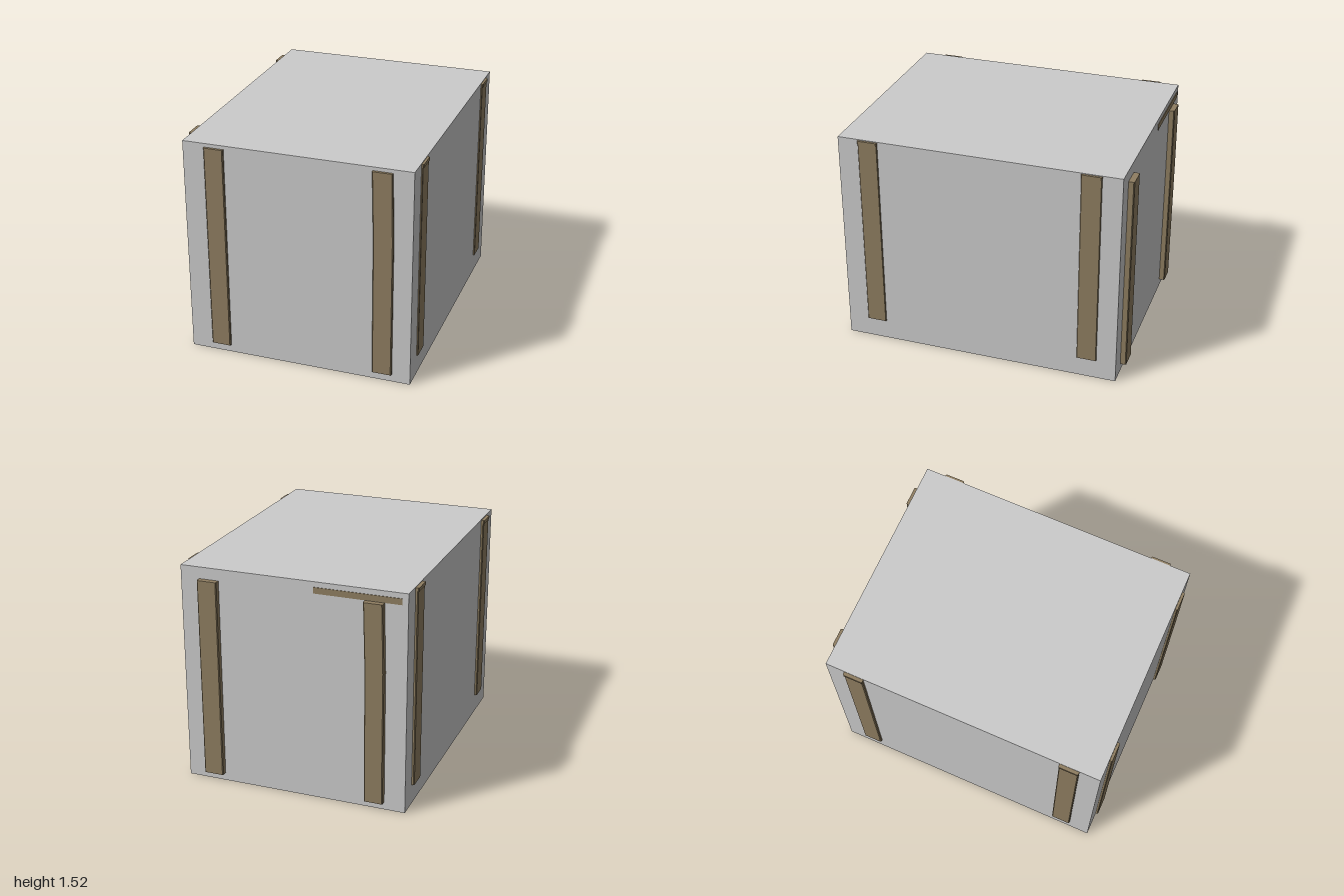
import * as THREE from 'three';

const grey = new THREE.MeshStandardMaterial({ color: 0xcccccc });
grey.name = 'light grey panel';
const wood = new THREE.MeshStandardMaterial({ color: 0x8f7e61 });
wood.name = 'brown wood';

// Upright batten with chamfered outer corners, standing on a wall that faces +z.
// bend shifts the upper third sideways.
function batten(name, { u, width, depth, y0, y1, bend = 0 }) {
  const w = width / 2, c = Math.min(0.006, depth * 0.4);
  const profile = new THREE.Shape([
    [-w, 0.01], [-w, c - depth], [c - w, -depth],
    [w - c, -depth], [w, c - depth], [w, 0.01],
  ].map(([x, y]) => new THREE.Vector2(x, y)));
  const geo = new THREE.ExtrudeGeometry(profile, { depth: y1 - y0, steps: 3, bevelEnabled: false });
  geo.rotateX(-Math.PI / 2);
  const pos = geo.attributes.position;
  const knee = (y1 - y0) * 2 / 3;
  for (let i = 0; i < pos.count; i++) {
    const t = Math.max(0, (pos.getY(i) - knee) / (y1 - y0 - knee));
    pos.setX(i, pos.getX(i) + bend * t);
  }
  geo.computeVertexNormals();
  const mesh = new THREE.Mesh(geo, wood);
  mesh.name = name;
  mesh.position.set(u, y0, 0);
  return mesh;
}

// Group whose local +z points out of one wall of the crate
function wall(name, angle, x, z) {
  const group = new THREE.Group();
  group.name = name;
  group.rotation.y = angle;
  group.position.set(x, 0, z);
  return group;
}

export function createModel() {
  const model = new THREE.Group();
  model.name = 'crate';

  const body = new THREE.Mesh(new THREE.BoxGeometry(1.56, 1.525, 1.94), grey);
  body.name = 'body';
  body.position.set(0, 0.7625, 0.01);
  model.add(body);

  // Front battens
  const front = wall('frontWall', 0, 0, 0.98);
  front.add(
    batten('frontRightBatten', { u: -0.56, width: 0.135, depth: 0.018, y0: 0.055, y1: 1.5 }),
    batten('frontLeftBatten', { u: 0.588, width: 0.135, depth: 0.018, y0: 0.055, y1: 1.5, bend: -0.011 }),
  );

  // Back battens and the thin strip below the top edge
  const back = wall('backWall', Math.PI, 0, -0.96);
  const strip = new THREE.Mesh(new THREE.BoxGeometry(0.59, 0.042, 0.008), wood);
  strip.name = 'backStrip';
  strip.position.set(0.445, 1.468, 0);
  back.add(
    batten('backLeftBatten', { u: -0.58, width: 0.138, depth: 0.04, y0: 0.055, y1: 1.445 }),
    batten('backRightBatten', { u: 0.572, width: 0.13, depth: 0.04, y0: 0.055, y1: 1.445, bend: -0.012 }),
    strip,
  );
  model.add(front, back);

  // Side battens, each with a slightly proud cap at the top
  for (const [side, sign, depth] of [['left', 1, 0.01], ['right', -1, 0.018]]) {
    const group = wall(side + 'Wall', sign * Math.PI / 2, sign * 0.78, 0);
    for (const [end, z] of [['Front', 0.767], ['Back', -0.757]]) {
      const u = -sign * z;
      group.add(
        batten(side + end + 'Batten', { u, width: 0.136, depth, y0: 0.14, y1: 1.497 }),
        batten(side + end + 'Cap', { u, width: 0.138, depth: depth + 0.006, y0: 1.497, y1: 1.52 }),
      );
    }
    model.add(group);
  }

  return model;
}
